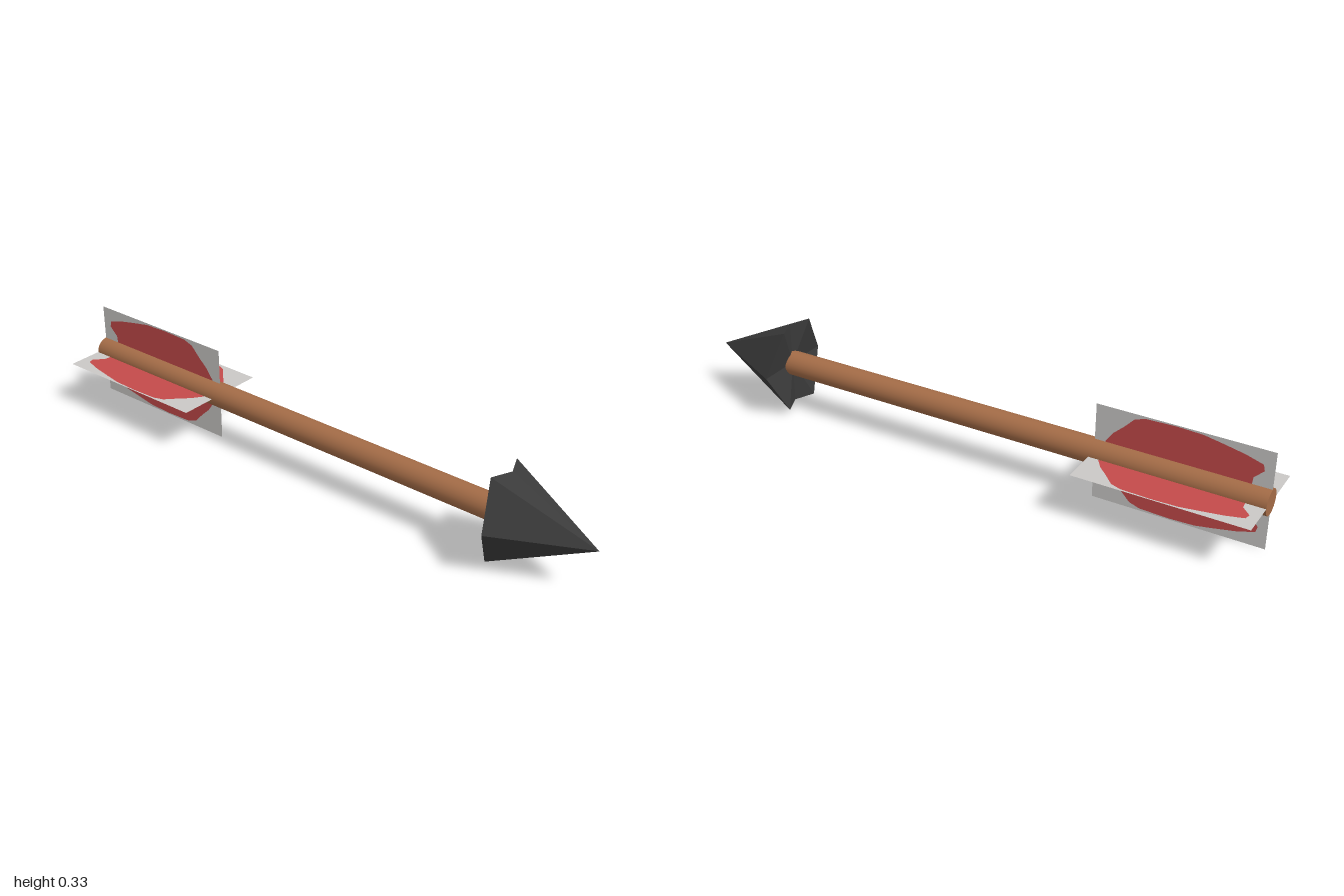
import * as THREE from 'three';

const wood = new THREE.MeshStandardMaterial({ color: 0xa46c47 });
wood.name = 'wood';
const iron = new THREE.MeshStandardMaterial({ color: 0x3a3a3a, flatShading: true });
iron.name = 'dark iron';
const grey = new THREE.MeshStandardMaterial({ color: 0xcac8c6, side: THREE.DoubleSide });
grey.name = 'pale grey';
const red = new THREE.MeshStandardMaterial({ color: 0xc44a4a, side: THREE.DoubleSide });
red.name = 'feather red';

const AXIS = 0.164; // height of the shaft's centre line

function part(name, geometry, material) {
  const mesh = new THREE.Mesh(geometry, material);
  mesh.name = name;
  return mesh;
}

// Eight-sided point: the four corners sweep back past the sides
function headGeometry() {
  const tip = [0, 0, 1], socket = [0, 0, 0.705];
  const ring = [
    [0.145, 0, 0.705], [0.07, 0.145, 0.675], [0, 0.145, 0.705], [-0.067, 0.145, 0.675],
    [-0.145, 0, 0.705], [-0.067, -0.145, 0.675], [0, -0.145, 0.705], [0.07, -0.145, 0.675],
  ];
  const points = [];
  ring.forEach((a, i) => {
    const b = ring[(i + 1) % ring.length];
    points.push(...tip, ...a, ...b, ...socket, ...b, ...a);
  });
  const geometry = new THREE.BufferGeometry();
  geometry.setAttribute('position', new THREE.Float32BufferAttribute(points, 3));
  geometry.computeVertexNormals();
  return geometry;
}

// One vane: a grey rectangle with a feather-shaped red inlay (x along the shaft, y outwards)
function makeVane() {
  const outline = [
    [-0.475, 0.02], [-0.475, 0.045], [-0.5, 0.08], [-0.53, 0.108], [-0.565, 0.145], [-0.6, 0.157],
    [-0.7, 0.16], [-0.78, 0.157], [-0.84, 0.146], [-0.91, 0.132], [-0.965, 0.115],
    [-0.97, 0.095], [-0.94, 0.065], [-0.935, 0.02],
  ].map(([x, y]) => new THREE.Vector2(x, y));
  const panel = new THREE.Shape([[-1, 0], [-0.44, 0], [-0.44, 0.164], [-1, 0.164]]
    .map(([x, y]) => new THREE.Vector2(x, y)));
  panel.holes.push(new THREE.Path(outline));
  const vane = new THREE.Group();
  vane.name = 'vane';
  vane.add(
    part('vanePanel', new THREE.ShapeGeometry(panel).rotateY(-Math.PI / 2), grey),
    part('vaneFeather', new THREE.ShapeGeometry(new THREE.Shape(outline)).rotateY(-Math.PI / 2), red),
  );
  return vane;
}

export function createModel() {
  const arrow = new THREE.Group();
  arrow.name = 'arrow';

  // Shaft along z
  const shaft = new THREE.CylinderGeometry(0.042, 0.042, 1.71, 24).rotateX(Math.PI / 2);
  shaft.translate(0, 0, -0.145);
  arrow.add(part('shaft', shaft, wood), part('arrowhead', headGeometry(), iron));

  // Four vanes around the tail
  for (let i = 0; i < 4; i++) {
    const vane = makeVane();
    vane.rotation.z = i * Math.PI / 2;
    arrow.add(vane);
  }

  arrow.position.y = AXIS;
  const model = new THREE.Group();
  model.add(arrow);
  return model;
}
